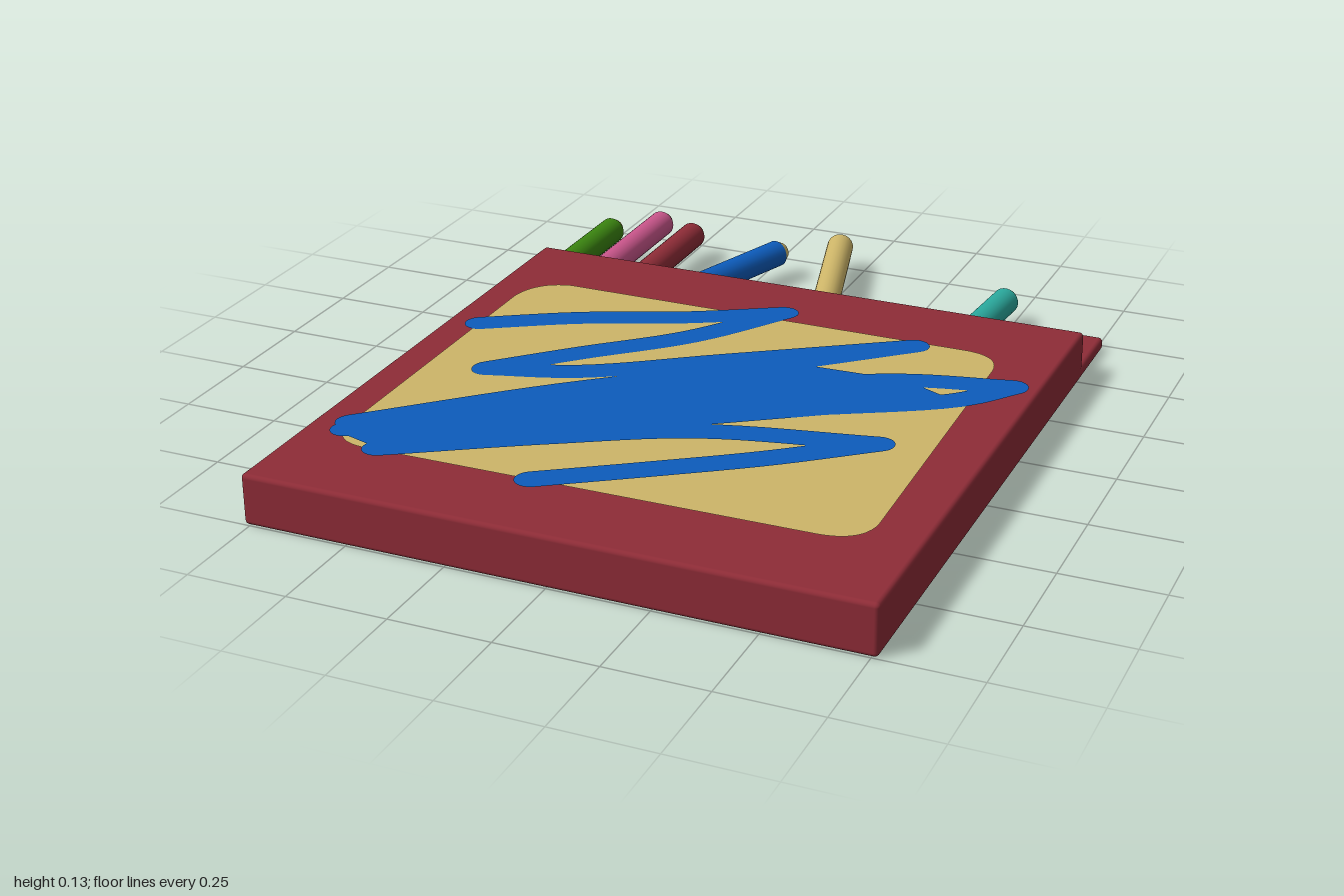
import * as THREE from 'three';
import { RoundedBoxGeometry } from 'three/addons/geometries/RoundedBoxGeometry.js';

const mat = (name, color) => {
  const m = new THREE.MeshStandardMaterial({ color });
  m.name = name;
  return m;
};

export function createModel() {
  const red = mat('darkRed', 0x8e2c37), tan = mat('tan', 0xcdb568), blue = mat('blue', 0x0d5cbc);
  const green = mat('green', 0x3a8310), pink = mat('pink', 0xc8558a), teal = mat('teal', 0x2aa89c);
  const model = new THREE.Group();
  model.name = 'crayonBox';

  const add = (name, geometry, material, x = 0, y = 0, z = 0, parent = model) => {
    const mesh = new THREE.Mesh(geometry, material);
    mesh.name = name;
    mesh.position.set(x, y, z);
    parent.add(mesh);
    return mesh;
  };

  // Box body and the thin flap sticking out at the back
  add('boxBody', new RoundedBoxGeometry(1.53, 0.128, 1.53, 3, 0.011), red, 0, 0.064, 0.235);
  add('backFlap', new RoundedBoxGeometry(1.53, 0.034, 0.8, 3, 0.011), red, 0, 0.017, -0.33);

  // Label with rounded corners, drawn as (x, -z)
  const label = new THREE.Shape();
  label.moveTo(-0.57, 0.295);
  label.lineTo(0.53, 0.295);
  label.quadraticCurveTo(0.62, 0.29, 0.625, 0.2);
  label.lineTo(0.645, -0.67);
  label.quadraticCurveTo(0.64, -0.76, 0.54, -0.765);
  label.lineTo(-0.58, -0.775);
  label.quadraticCurveTo(-0.67, -0.77, -0.672, -0.67);
  label.lineTo(-0.675, 0.18);
  label.quadraticCurveTo(-0.66, 0.28, -0.57, 0.295);
  const flat = (shape) => new THREE.ShapeGeometry(shape, 10).rotateX(-Math.PI / 2);
  add('label', flat(label), tan, 0, 0.1305, 0);

  // Scribble: flat strokes with round ends over a filled middle
  const scribble = new THREE.Group();
  scribble.name = 'scribble';
  scribble.position.y = 0.133;
  model.add(scribble);
  const strokes = [
    [[-0.67, 0.03], [-0.45, -0.1], [-0.2, -0.21], [0.02, -0.335]],
    [[0.02, -0.335], [-0.14, -0.1], [-0.35, 0.1], [-0.52, 0.27]],
    [[-0.52, 0.275], [-0.3, 0.2], [0, 0], [0.4, -0.265]],
    [[0.4, -0.265], [0.1, 0], [-0.3, 0.32], [-0.67, 0.67]],
    [[-0.66, 0.71], [-0.2, 0.35], [0.4, -0.04], [0.7, -0.125]],
    [[0.7, -0.12], [0.6, 0], [0.2, 0.24], [-0.54, 0.77]],
    [[-0.54, 0.77], [-0.2, 0.56], [0.1, 0.4], [0.51, 0.3]],
    [[0.51, 0.3], [0.3, 0.47], [0.1, 0.61], [-0.145, 0.775]],
  ];
  const half = 0.039, steps = 24;
  for (const points of strokes) {
    const curve = new THREE.CatmullRomCurve3(points.map(([x, z]) => new THREE.Vector3(x, 0, z)));
    const pos = [], index = [];
    for (let i = 0; i <= steps; i++) {
      const p = curve.getPoint(i / steps), t = curve.getTangent(i / steps);
      pos.push(p.x + t.z * half, 0, p.z - t.x * half, p.x - t.z * half, 0, p.z + t.x * half);
      if (i < steps) index.push(2 * i, 2 * i + 1, 2 * i + 2, 2 * i + 1, 2 * i + 3, 2 * i + 2);
    }
    const ribbon = new THREE.BufferGeometry();
    ribbon.setAttribute('position', new THREE.Float32BufferAttribute(pos, 3));
    ribbon.setIndex(index);
    ribbon.computeVertexNormals();
    add('stroke', ribbon, blue, 0, 0, 0, scribble);
    for (const [x, z] of [points[0], points[3]]) {
      add('strokeEnd', new THREE.CircleGeometry(half, 20).rotateX(-Math.PI / 2), blue, x, 0, z, scribble);
    }
  }
  const middle = [[-0.67, 0.73], [-0.68, 0.66], [-0.28, 0.3], [0.2, -0.05], [0.45, -0.06],
    [0.63, 0.02], [0.55, 0.06], [0, 0.43], [-0.54, 0.77]];
  add('strokeFill', flat(new THREE.Shape(middle.map(([x, z]) => new THREE.Vector2(x, -z)))),
    blue, 0, 0, 0, scribble);

  // Crayons: [name, material, base x, tip x, tip z], leaning out of the back
  const crayons = [
    ['greenCrayon', green, -0.705, -0.705, -0.855],
    ['pinkCrayon', pink, -0.597, -0.597, -0.96],
    ['redCrayon', red, -0.478, -0.478, -0.91],
    ['blueCrayon', blue, -0.322, -0.198, -0.87],
    ['tanCrayon', tan, 0.066, -0.068, -0.99],
    ['tealCrayon', teal, 0.464, 0.486, -0.79],
  ];
  const radius = 0.036, tip = 0.024, baseZ = -0.5;
  for (const [name, material, x0, x1, z1] of crayons) {
    const crayon = new THREE.Group();
    crayon.name = name;
    crayon.position.set(x0, 0.077, baseZ);
    const dir = new THREE.Vector3(x1 - x0, 0, z1 - baseZ);
    const length = dir.length();
    crayon.quaternion.setFromUnitVectors(new THREE.Vector3(0, 1, 0), dir.normalize());
    add('crayonBody', new THREE.CylinderGeometry(radius, radius, length - tip, 24),
      material, 0, (length - tip) / 2, 0, crayon);
    add('crayonTip', new THREE.CylinderGeometry(0.023, radius, tip, 24),
      tan, 0, length - tip / 2, 0, crayon);
    model.add(crayon);
  }
  return model;
}
